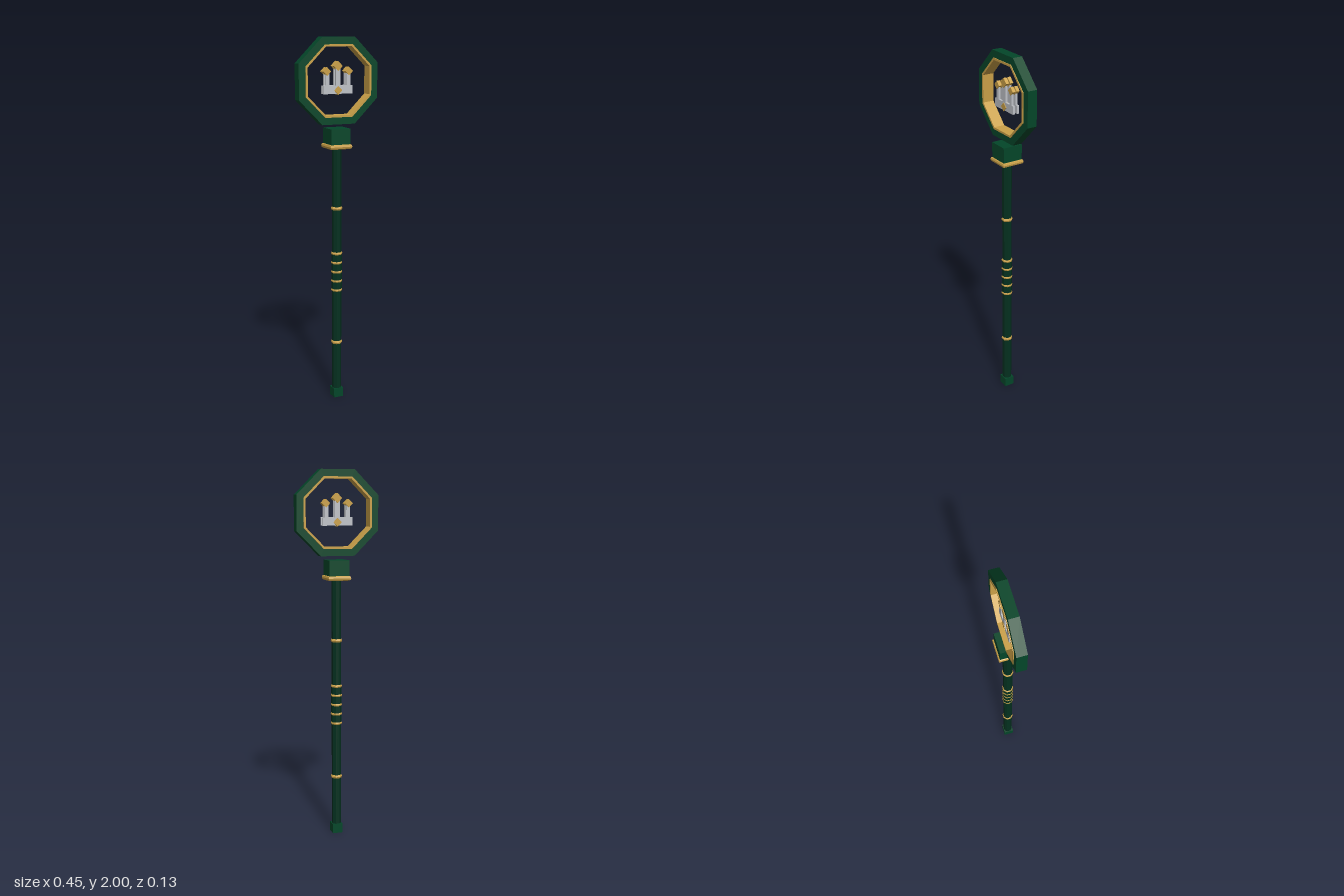
import * as THREE from 'three';

const material = (name, color) => {
  const m = new THREE.MeshStandardMaterial({ color });
  m.name = name;
  return m;
};

// Corner points of a flat-topped octagon with the given half width
function octagon(apothem) {
  const r = apothem / Math.cos(Math.PI / 8);
  return Array.from({ length: 8 }, (_, i) => {
    const a = Math.PI / 8 + (i * Math.PI) / 4;
    return new THREE.Vector2(r * Math.cos(a), r * Math.sin(a));
  });
}

function octagonRing(outer, inner, depth) {
  const shape = new THREE.Shape(octagon(outer));
  shape.holes.push(new THREE.Path(octagon(inner)));
  const g = new THREE.ExtrudeGeometry(shape, { depth, bevelEnabled: false });
  return g.translate(0, 0, -depth / 2);
}

// Eight-sided upright prism, flat faces towards the axes
function prism(halfWidth, bottom, top) {
  const r = halfWidth / Math.cos(Math.PI / 8);
  return new THREE.CylinderGeometry(r, r, top - bottom, 8)
    .rotateY(Math.PI / 8)
    .translate(0, (top + bottom) / 2, 0);
}

// Rounded band with a few straight sides, flat sides towards the axes
function band(halfWidth, tube, y, sides) {
  const r = halfWidth / Math.cos(Math.PI / sides) - tube;
  return new THREE.TorusGeometry(r, tube, 8, sides)
    .rotateZ(Math.PI / sides)
    .rotateX(Math.PI / 2)
    .translate(0, y, 0);
}

function block(halfX, bottom, top, halfZ) {
  return new THREE.BoxGeometry(halfX * 2, top - bottom, halfZ * 2)
    .translate(0, (top + bottom) / 2, 0);
}

export function createModel() {
  const green = material('green', 0x034629);
  const darkGreen = material('dark green', 0x03301f);
  const gold = material('gold', 0xcba148);
  const silver = material('silver', 0xc0c3c8);
  for (const m of [darkGreen, gold]) m.flatShading = true;

  const model = new THREE.Group();
  model.name = 'staff';
  const add = (name, geometry, mat, parent = model) => {
    const mesh = new THREE.Mesh(geometry, mat);
    mesh.name = name;
    parent.add(mesh);
    return mesh;
  };

  // Shaft, grip and foot
  add('foot', block(0.028, 0, 0.052, 0.028), green);
  add('shaft', prism(0.024, 0.05, 1.435), darkGreen);
  add('grip', prism(0.0265, 0.63, 0.84), darkGreen);
  for (const y of [0.325, 1.09]) add('shaftRing', band(0.029, 0.012, y, 8), gold);
  for (let i = 0; i < 5; i++) add('gripRing', band(0.029, 0.009, 0.63 + i * 0.052, 8), gold);

  // Square block with its collar
  add('collar', band(0.063, 0.0135, 1.43, 4), gold);
  add('headBlock', block(0.0555, 1.425, 1.525, 0.0555), green);

  // Open octagonal head
  const head = new THREE.Group();
  head.name = 'head';
  head.position.y = 1.7735;
  model.add(head);
  add('headFrame', octagonRing(0.2265, 0.187, 0.054), green, head);
  add('headLining', octagonRing(0.189, 0.178, 0.062), gold, head);

  // Tower emblem, one layer for each side
  for (const side of [1, -1]) {
    const emblem = new THREE.Group();
    emblem.name = side > 0 ? 'frontEmblem' : 'backEmblem';
    emblem.position.z = side * 0.012;
    head.add(emblem);
    add('emblemBase', block(0.083, -0.067, -0.023, 0.006), silver, emblem);
    for (const x of [-0.06, 0, 0.06]) {
      const top = x === 0 ? 0.065 : 0.04;
      const half = x === 0 ? 0.013 : 0.011;
      add('emblemTower', block(half, -0.023, top, 0.006), silver, emblem).position.x = x;
    }
    // Gold diamonds on the towers and the base
    for (const [x, y, r] of [[-0.063, 0.05, 0.022], [0, 0.077, 0.026], [0.063, 0.05, 0.022], [0, -0.049, 0.023]]) {
      const s = r * Math.SQRT2;
      const gem = add('emblemDiamond', new THREE.BoxGeometry(s, s, 0.018), gold, emblem);
      gem.position.set(x, y, 0);
      gem.rotation.z = Math.PI / 4;
    }
  }
  return model;
}
